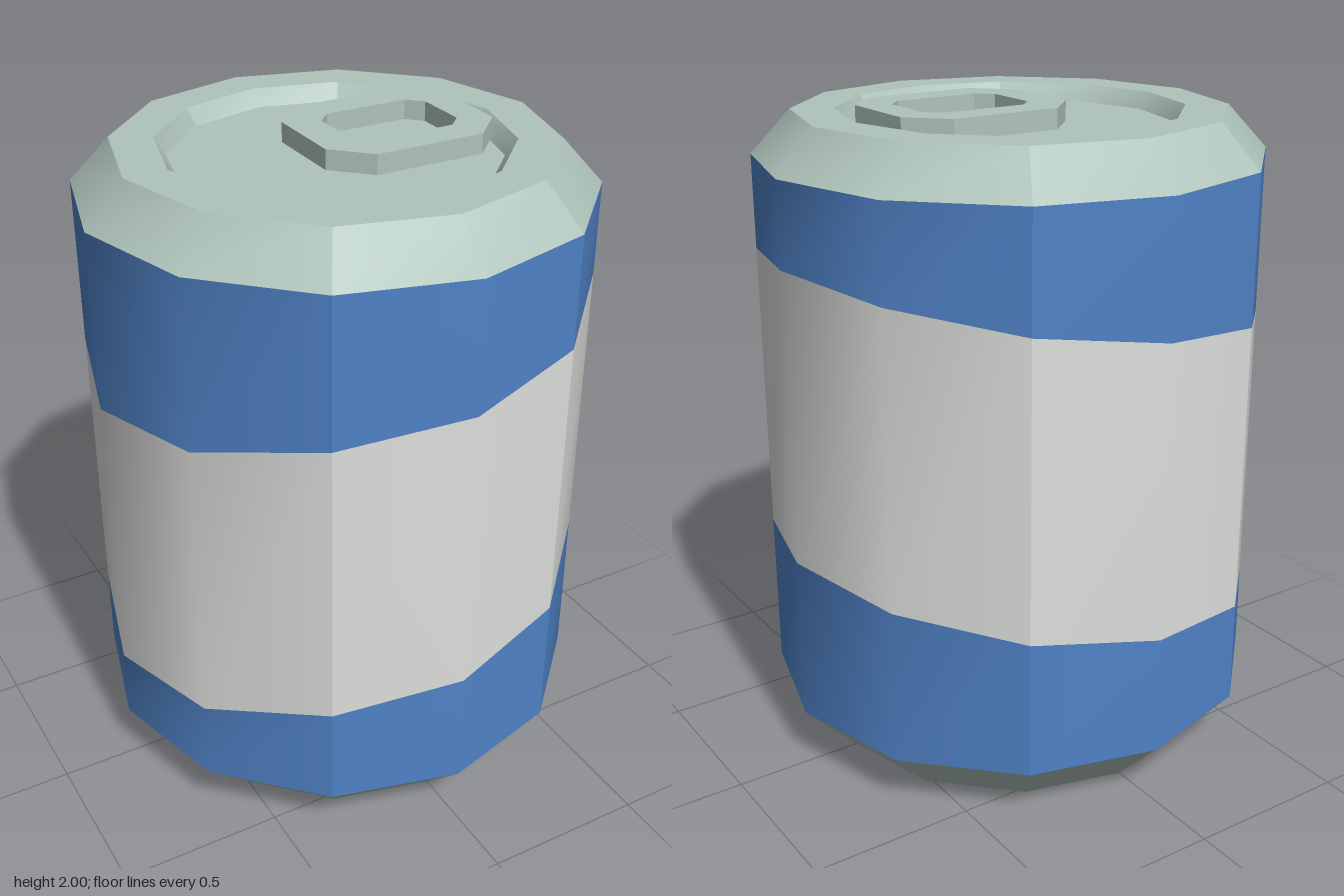
import * as THREE from 'three';

const SIDES = 12;
// Corner ranges that share smooth shading; edges between ranges stay sharp
const SMOOTH = [[2, 4], [4, 8], [8, 10], [10, 14]];
// Height of the wavy stripe edge at each corner, from the +x side to the -x side
const WAVE = [0.69, 0.66, 0.6, 0.545, 0.495, 0.43, 0.4];

const ring = (r, y) => () => [r, y];
const waveRing = (r, lift) => (i) => {
  const k = i % SIDES;
  return [r, WAVE[Math.min(k, SIDES - k)] + lift];
};

// Strip of faces between two rings, given from bottom/outside to top/inside
function strip(lower, upper) {
  const pos = [], index = [];
  for (const [from, to] of SMOOTH) {
    for (let i = from; i <= to; i++) {
      const n = pos.length / 3, a = (i / SIDES) * Math.PI * 2;
      for (const [r, y] of [lower(i), upper(i)]) pos.push(r * Math.cos(a), y, r * Math.sin(a));
      if (i < to) index.push(n, n + 1, n + 2, n + 2, n + 1, n + 3);
    }
  }
  const geo = new THREE.BufferGeometry();
  geo.setAttribute('position', new THREE.Float32BufferAttribute(pos, 3));
  geo.setIndex(index);
  geo.computeVertexNormals();
  return geo;
}

// Rectangle with cut corners, traced on a shape or hole path
function cutRect(path, x0, x1, h, c) {
  path.moveTo(x0 + c, -h);
  path.lineTo(x1 - c, -h);
  path.lineTo(x1, -h + c);
  path.lineTo(x1, h - c);
  path.lineTo(x1 - c, h);
  path.lineTo(x0 + c, h);
  path.lineTo(x0, h - c);
  path.lineTo(x0, -h + c);
  path.closePath();
  return path;
}

export function createModel() {
  const model = new THREE.Group();
  model.name = 'drinkCan';
  const material = (name, color) => {
    const m = new THREE.MeshStandardMaterial({ color });
    m.name = name;
    return m;
  };
  const metal = material('paleMetal', 0xafc4bb);
  const blue = material('blue', 0x5082c6);
  const white = material('offWhite', 0xdddfdc);

  const add = (name, geo, mat) => {
    const mesh = new THREE.Mesh(geo, mat);
    mesh.name = name;
    model.add(mesh);
    return mesh;
  };

  // Can wall with a slanted pale stripe
  const R = 0.77;
  add('lowerWall', strip(ring(R, 0.175), waveRing(R, 0)), blue);
  add('stripe', strip(waveRing(R, 0), waveRing(R, 0.9)), white);
  add('upperWall', strip(waveRing(R, 0.9), ring(R, 1.845)), blue);

  // Metal base and top
  add('baseBevel', strip(ring(0.6, 0), ring(R, 0.175)), metal);
  add('base', new THREE.CircleGeometry(0.6, SIDES).rotateX(Math.PI / 2), metal);
  add('topBevel', strip(ring(R, 1.845), ring(0.65, 1.975)), metal);
  add('rim', strip(ring(0.65, 1.975), ring(0.52, 1.975)), metal);
  add('recessWall', strip(ring(0.52, 1.975), ring(0.485, 1.925)), metal);
  add('lid', new THREE.CircleGeometry(0.485, SIDES).rotateX(-Math.PI / 2).translate(0, 1.925, 0), metal);

  // Pull tab with a finger hole
  const tab = cutRect(new THREE.Shape(), -0.105, 0.45, 0.235, 0.105);
  tab.holes.push(cutRect(new THREE.Path(), 0, 0.355, 0.13, 0.045));
  const tabGeo = new THREE.ExtrudeGeometry(tab, { depth: 0.06, bevelEnabled: false });
  add('pullTab', tabGeo.rotateX(-Math.PI / 2).translate(0, 1.94, 0), metal);

  return model;
}
